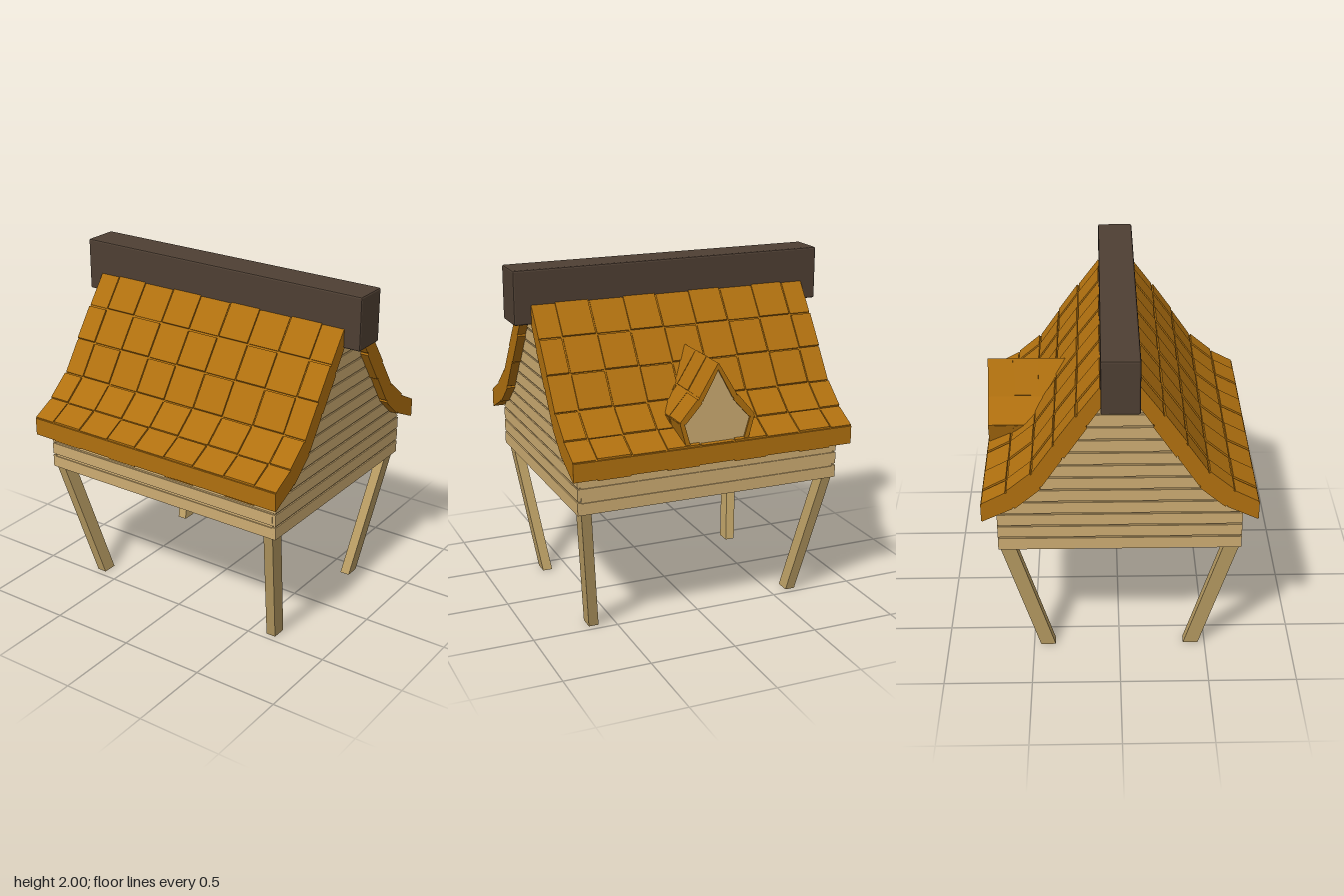
import * as THREE from 'three';
import { RoundedBoxGeometry } from 'three/addons/geometries/RoundedBoxGeometry.js';

const mat = (color) => new THREE.MeshStandardMaterial({ color, roughness: 0.9, flatShading: true });
const V = (x, y) => new THREE.Vector2(x, y);

export function createModel() {
  const root = new THREE.Group();
  const tileMat = mat(0xb0700f), plankMat = mat(0xcdac72), legMat = mat(0xbfa267), beamMat = mat(0x4e3f33);

  function add(parent, name, geometry, material) {
    const mesh = new THREE.Mesh(geometry, material);
    mesh.name = name;
    parent.add(mesh);
    return mesh;
  }
  function group(name) {
    const g = new THREE.Group();
    g.name = name;
    root.add(g);
    return g;
  }
  // Polygon in x/y pulled from z0 to z1
  function prism(points, z0, z1) {
    const g = new THREE.ExtrudeGeometry(new THREE.Shape(points), { depth: z1 - z0, bevelEnabled: false });
    return g.translate(0, 0, z0);
  }
  // Cross-section of one tile, between profile stations a and a+1
  function tileSection(outer, inner, a, rise, gap, side) {
    const at = (list, t) => list[a].clone().lerp(list[a + 1], t);
    const corner = (t) => {
      const o = at(outer, t), i = at(inner, t), n = o.clone().sub(i).normalize().multiplyScalar(rise);
      return [o.add(n), i.sub(n)];
    };
    const [o0, i0] = corner(gap), [o1, i1] = corner(1 - gap);
    return [o0, o1, i1, i0].map((p) => V(p.x * side, p.y));
  }

  // Main roof: curved slab with alternating raised tiles on both slopes
  const outer = [V(0.1, 1.805), V(0.225, 1.635), V(0.35, 1.46), V(0.47, 1.285), V(0.61, 1.168), V(0.75, 1.095)];
  const inner = [V(0.08, 1.72), V(0.175, 1.58), V(0.305, 1.385), V(0.425, 1.205), V(0.575, 1.075), V(0.75, 0.992)];
  const columns = [-0.832, -0.7, -0.5, -0.3, -0.1, 0.1, 0.3, 0.5, 0.7, 0.832];
  for (const side of [1, -1]) {
    const roof = group(side > 0 ? 'leftRoof' : 'rightRoof');
    const outline = [...outer, ...[...inner].reverse()].map((p) => V(p.x * side, p.y));
    add(roof, 'roofSlab', prism(outline, -0.832, 0.832), tileMat);
    for (let r = 0; r < outer.length - 1; r++) {
      for (let c = 0; c < columns.length - 1; c++) {
        const rise = (r + c) % 2 ? 0.011 : 0.005;
        const section = tileSection(outer, inner, r, rise, 0.03, side);
        const z0 = columns[c] + (c ? 0.005 : 0);
        const z1 = columns[c + 1] - (c < columns.length - 2 ? 0.005 : 0);
        add(roof, 'roofTile', prism(section, z0, z1), tileMat);
      }
    }
  }

  // Ridge beam
  add(root, 'ridgeBeam', new RoundedBoxGeometry(0.205, 0.305, 1.86, 1, 0.01), beamMat).position.y = 1.8475;

  // Half width of the gable at a height, following the underside of the roof
  function halfWidth(y) {
    for (let i = 0; i < inner.length - 1; i++) {
      const a = inner[i], b = inner[i + 1];
      if (y <= a.y && y >= b.y) {
        return Math.min(0.67, a.x + (b.x - a.x) * (a.y - y) / (a.y - b.y) + 0.015);
      }
    }
    return 0.67;
  }

  // Gable walls: horizontal planks over a thin backing
  const base = 0.77, pitch = 0.0772, gap = 0.005;
  for (const side of [1, -1]) {
    const gable = group(side > 0 ? 'frontGable' : 'backGable');
    for (let i = 0; i < 12; i++) {
      const band = (y0, y1, t, inset) => {
        const w0 = halfWidth(y0) - inset, w1 = halfWidth(y1) - inset;
        return prism([V(-w0, y0), V(w0, y0), V(w1, y1), V(-w1, y1)], side * 0.773 - t, side * 0.773 + t);
      };
      const y0 = base + i * pitch, y1 = y0 + pitch;
      add(gable, 'gablePlank', band(y0 + (i ? gap : 0), y1 - gap, 0.011, 0), plankMat);
      add(gable, 'gableBacking', band(y0, y1, 0.004, 0.004), plankMat);
    }
  }

  // Side walls: three planks under the eaves
  for (const side of [1, -1]) {
    const wall = group(side > 0 ? 'leftWall' : 'rightWall');
    for (let i = 0; i < 4; i++) {
      const h = pitch - gap * 2;
      const plank = add(wall, 'wallPlank', new THREE.BoxGeometry(0.02, h, 1.526), plankMat);
      plank.position.set(side * 0.661, base + i * pitch + h / 2 + (i ? gap : 0), 0);
    }
    const back = add(wall, 'wallBacking', new THREE.BoxGeometry(0.008, 0.29, 1.526), plankMat);
    back.position.set(side * 0.661, base + 0.147, 0);
  }

  // Legs: square posts leaning inward toward the ground, ends cut level
  for (const sx of [1, -1]) {
    for (const sz of [1, -1]) {
      const leg = new THREE.BoxGeometry(0.086, 0.8, 0.058).translate(0, 0.4, 0);
      const p = leg.attributes.position;
      for (let i = 0; i < p.count; i++) {
        const t = p.getY(i) / 0.77;
        p.setX(i, p.getX(i) + sx * (0.417 + 0.203 * t));
        p.setZ(i, p.getZ(i) + sz * (0.63 + 0.103 * t));
      }
      leg.computeVertexNormals();
      add(root, 'leg', leg, legMat);
    }
  }

  // Dormer: tiled shell around a recessed plank-coloured face
  const dormer = group('dormer');
  const shell = [V(0, 1.55), V(0.112, 1.362), V(0.22, 1.236), V(0.182, 1.1)];
  const lining = [V(0, 1.515), V(0.093, 1.345), V(0.197, 1.228), V(0.162, 1.105)];
  const starts = [0.3, 0.42, 0.53], cuts = [0.3, 0.45, 0.595, 0.742];
  const alongX = (points, x0, x1) => prism(points, x0, x1).rotateY(Math.PI / 2);
  for (const side of [1, -1]) {
    for (let r = 0; r < 3; r++) {
      add(dormer, 'dormerShell', alongX(tileSection(shell, lining, r, 0, 0, side), starts[r], 0.742), tileMat);
      for (let c = 0; c < 3; c++) {
        const x0 = Math.max(starts[r], cuts[c] + 0.004), x1 = cuts[c + 1] - (c < 2 ? 0.004 : 0);
        if (x1 - x0 < 0.01) continue;
        const rise = (r + c) % 2 ? 0.006 : 0.003;
        add(dormer, 'dormerTile', alongX(tileSection(shell, lining, r, rise, 0.03, side), x0, x1), tileMat);
      }
    }
  }
  const face = [...lining, ...lining.slice(1).reverse().map((p) => V(-p.x, p.y))];
  add(dormer, 'dormerFace', alongX(face, 0.69, 0.732), plankMat);

  return root;
}
